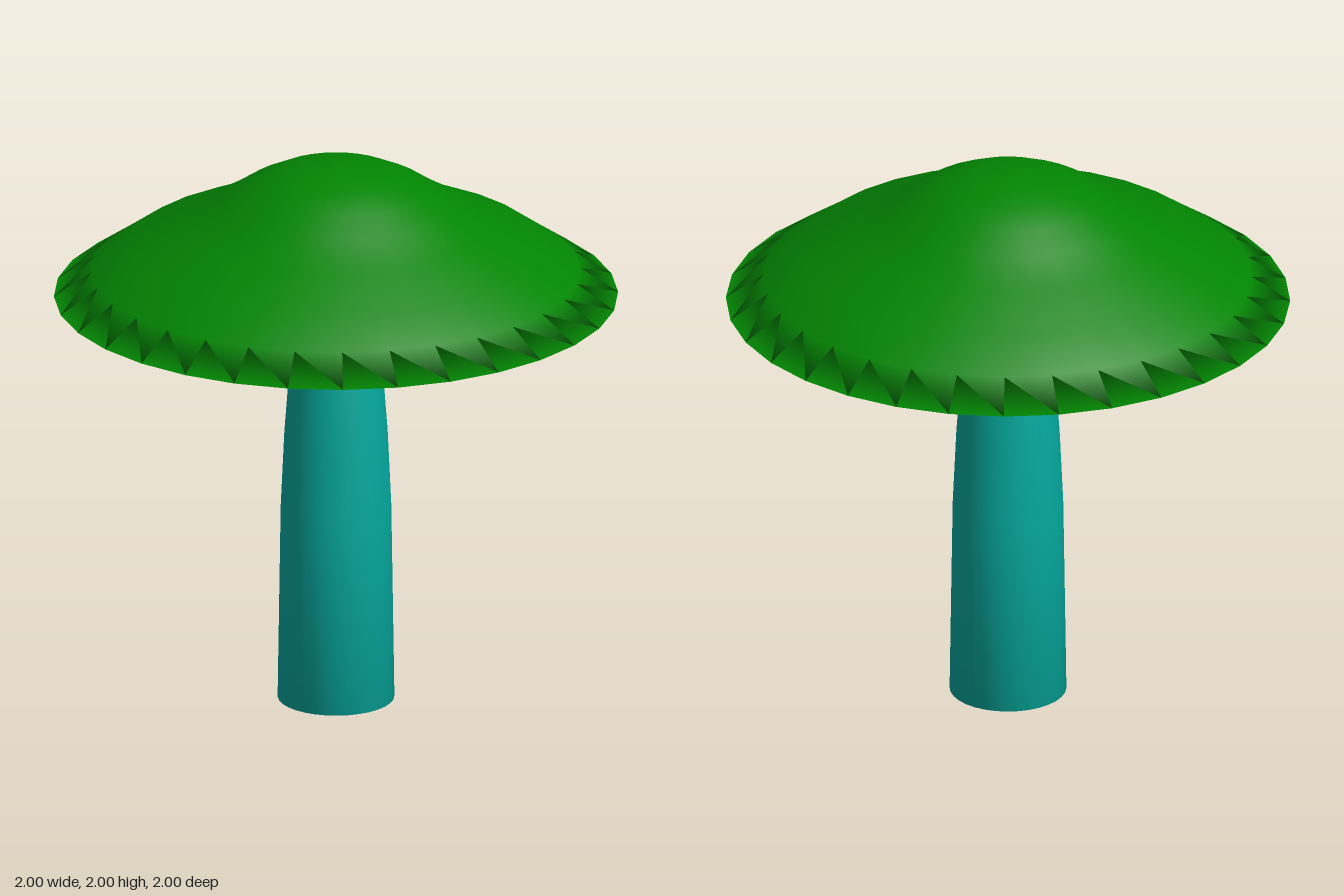
import * as THREE from 'three';

// Smooth solid of revolution from [radius, height] pairs, listed bottom to top
function turned(name, profile, material) {
  const points = profile.map(([r, y]) => new THREE.Vector2(r, y));
  const mesh = new THREE.Mesh(new THREE.LatheGeometry(points, 32), material);
  mesh.name = name;
  return mesh;
}

export function createModel() {
  const capGreen = new THREE.MeshStandardMaterial({ color: 0x028502 });
  capGreen.name = 'cap green';
  const stemTeal = new THREE.MeshStandardMaterial({ color: 0x04a89d });
  stemTeal.name = 'stem teal';

  const model = new THREE.Group();
  model.name = 'mushroom';

  // Tapering stem with a closed base, its top tucked into the cap
  model.add(turned('stem', [
    [0, 0], [0.207, 0], [0.196, 0.72], [0.183, 1.0], [0.168, 1.2],
    [0.148, 1.4], [0.127, 1.52], [0.104, 1.62], [0.07, 1.7], [0, 1.72],
  ], stemTeal));

  // Flared cap with a shallow hollow underside and a domed crown
  model.add(turned('cap', [
    [0, 1.63], [1, 1.513], [0.865, 1.605], [0.73, 1.7],
    [0.54, 1.785], [0.41, 1.86], [0.32, 1.92], [0.22, 1.968],
    [0.11, 1.993], [0, 2],
  ], capGreen));

  return model;
}
